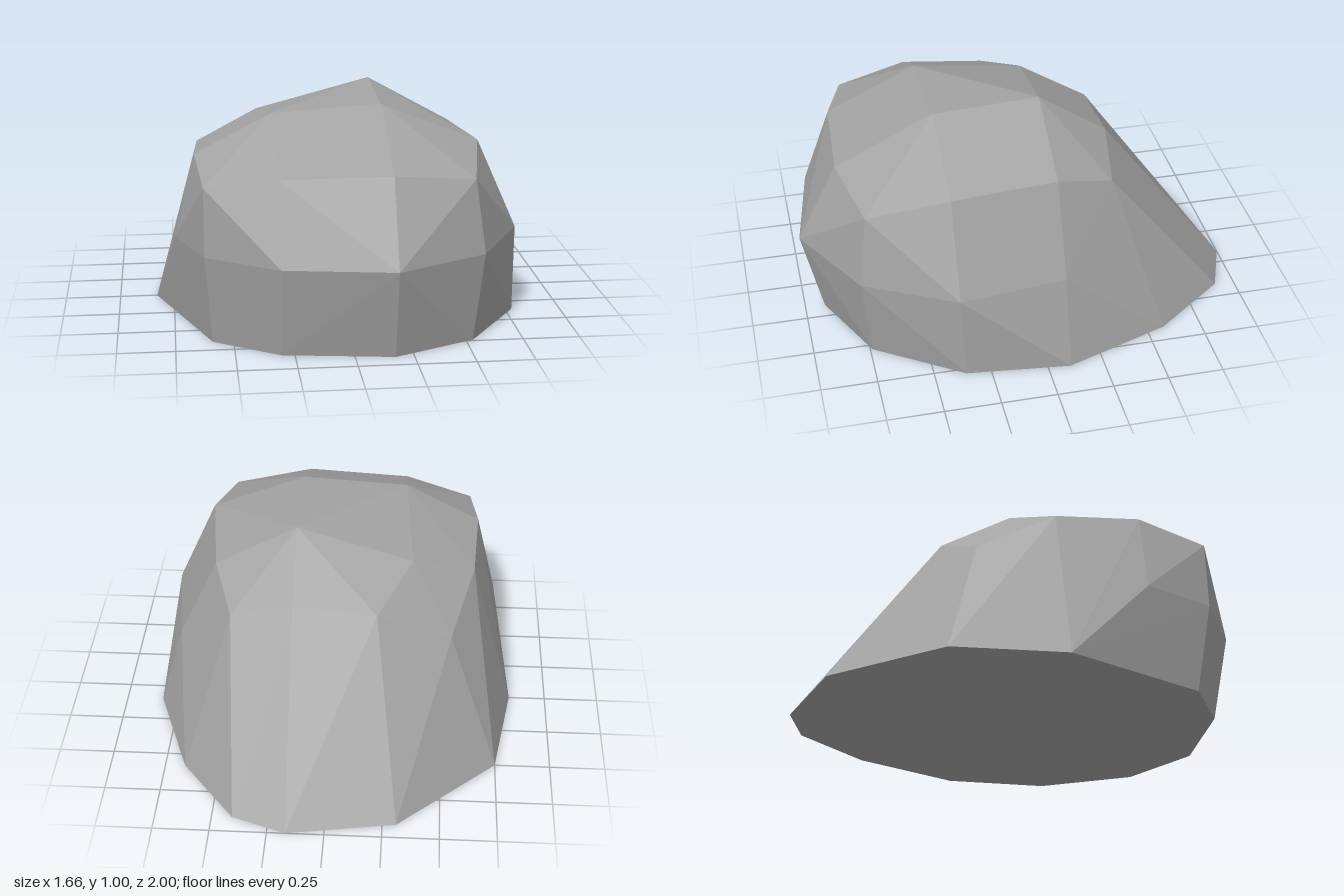
import * as THREE from 'three';
import { ConvexGeometry } from 'three/addons/geometries/ConvexGeometry.js';

// Faceted boulder: rings of corner points [x, y, z], from the ground up
const base = [
  [0.17, 0.91], [0.53, 0.74], [0.78, 0.36], [0.83, -0.1], [0.66, -0.58], [0.41, -0.91],
  [0.17, -1], [-0.31, -0.92], [-0.75, -0.5], [-0.83, 0], [-0.59, 0.65], [-0.31, 0.84],
].map(([x, z]) => [x, 0, z]);

// Widest part of the front and sides
const waist = [
  [0.17, 1], [0.57, 0.78], [0.78, 0.38], [0.72, -0.1], [-0.74, 0.38], [-0.62, 0.71], [-0.31, 0.92],
].map(([x, z]) => [x, 0.4, z]);

// Shoulder where the sides turn into the top
const shoulder = [
  [0.17, 0.76, 0.82], [0.53, 0.72, 0.74], [0.6, 0.805, 0.38], [0.54, 0.795, -0.1],
  [0.45, 0.7, -0.37], [0.17, 0.79, -0.41], [-0.2, 0.75, -0.41], [-0.53, 0.59, -0.33],
  [-0.63, 0.74, 0], [-0.65, 0.77, 0.38], [-0.62, 0.7, 0.7], [-0.31, 0.75, 0.79],
];

// Crown
const crown = [[0.17, 0.975, 0.38], [0.17, 1, -0.1], [-0.35, 0.857, -0.13], [-0.31, 0.945, 0.38]];

export function createModel() {
  const stone = new THREE.MeshStandardMaterial({ color: 0xa3a3a3 });
  stone.name = 'greyStone';
  stone.flatShading = true;

  const points = [...base, ...waist, ...shoulder, ...crown].map((p) => new THREE.Vector3(...p));
  const boulder = new THREE.Mesh(new ConvexGeometry(points), stone);
  boulder.name = 'boulder';

  const group = new THREE.Group();
  group.name = 'rock';
  group.add(boulder);
  return group;
}
